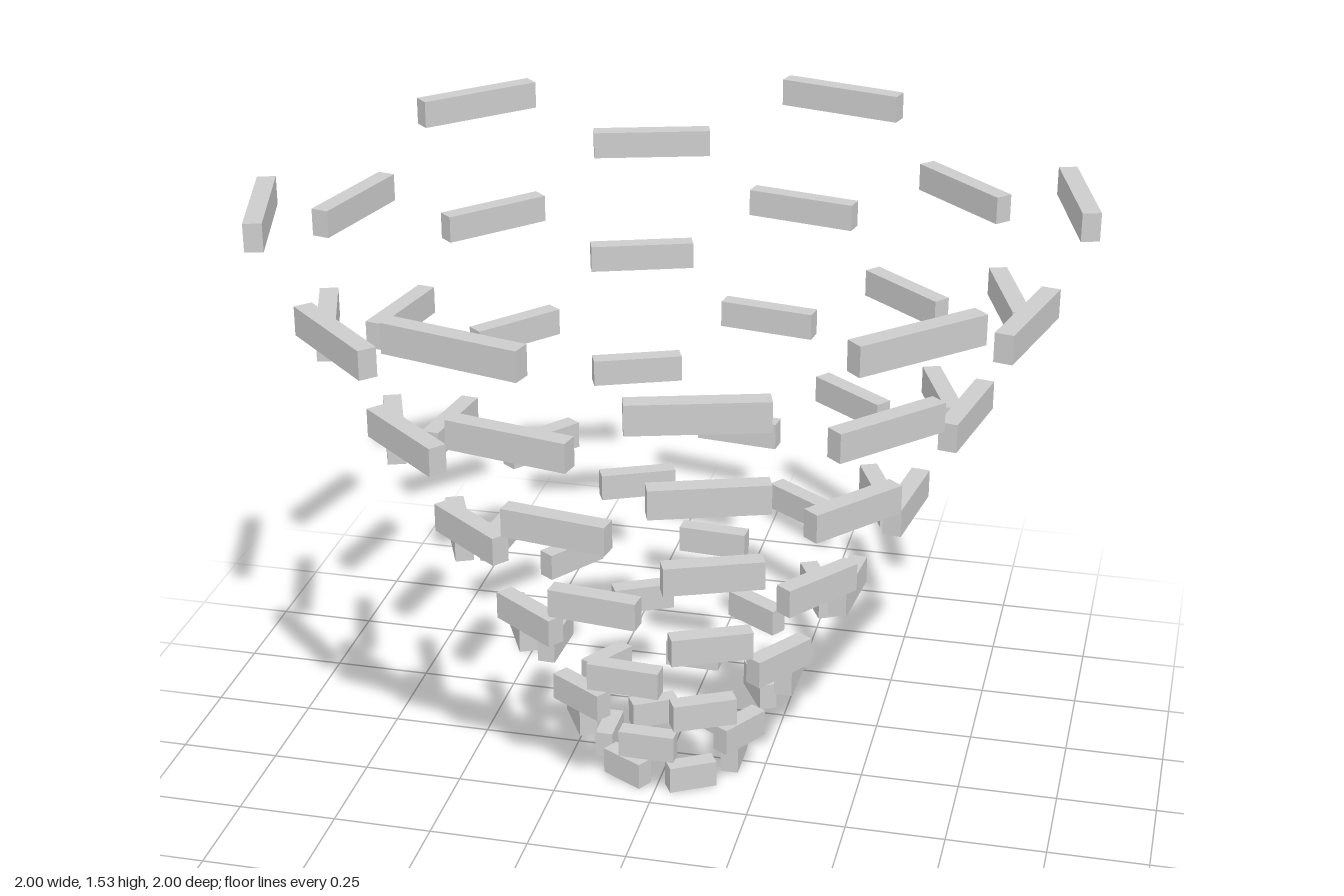
import * as THREE from 'three';

const RINGS = 12, BLOCKS = 6;
const HEIGHT = 0.07, DEPTH = 0.045;

export function createModel() {
  const model = new THREE.Group();
  model.name = 'blockSpiral';
  const grey = new THREE.MeshStandardMaterial({ color: 0xcccccc });
  grey.name = 'light grey';

  // Stacked rings of blocks: each is wider than the one below and turned a little further
  for (let i = 0; i < RINGS; i++) {
    const ring = new THREE.Group();
    ring.name = `ring${i + 1}`;
    ring.position.y = HEIGHT / 2 + i * 0.133;
    ring.rotation.y = -THREE.MathUtils.degToRad(31.36 * i);

    const radius = 0.166 + i * 0.0729;
    const block = new THREE.BoxGeometry(DEPTH, HEIGHT, 0.123 + i * 0.0188);
    for (let k = 0; k < BLOCKS; k++) {
      const angle = (k / BLOCKS) * Math.PI * 2;
      const mesh = new THREE.Mesh(block, grey);
      mesh.name = 'block';
      mesh.position.set(radius * Math.cos(angle), 0, radius * Math.sin(angle));
      mesh.rotation.y = -angle;
      ring.add(mesh);
    }
    model.add(ring);
  }
  return model;
}
